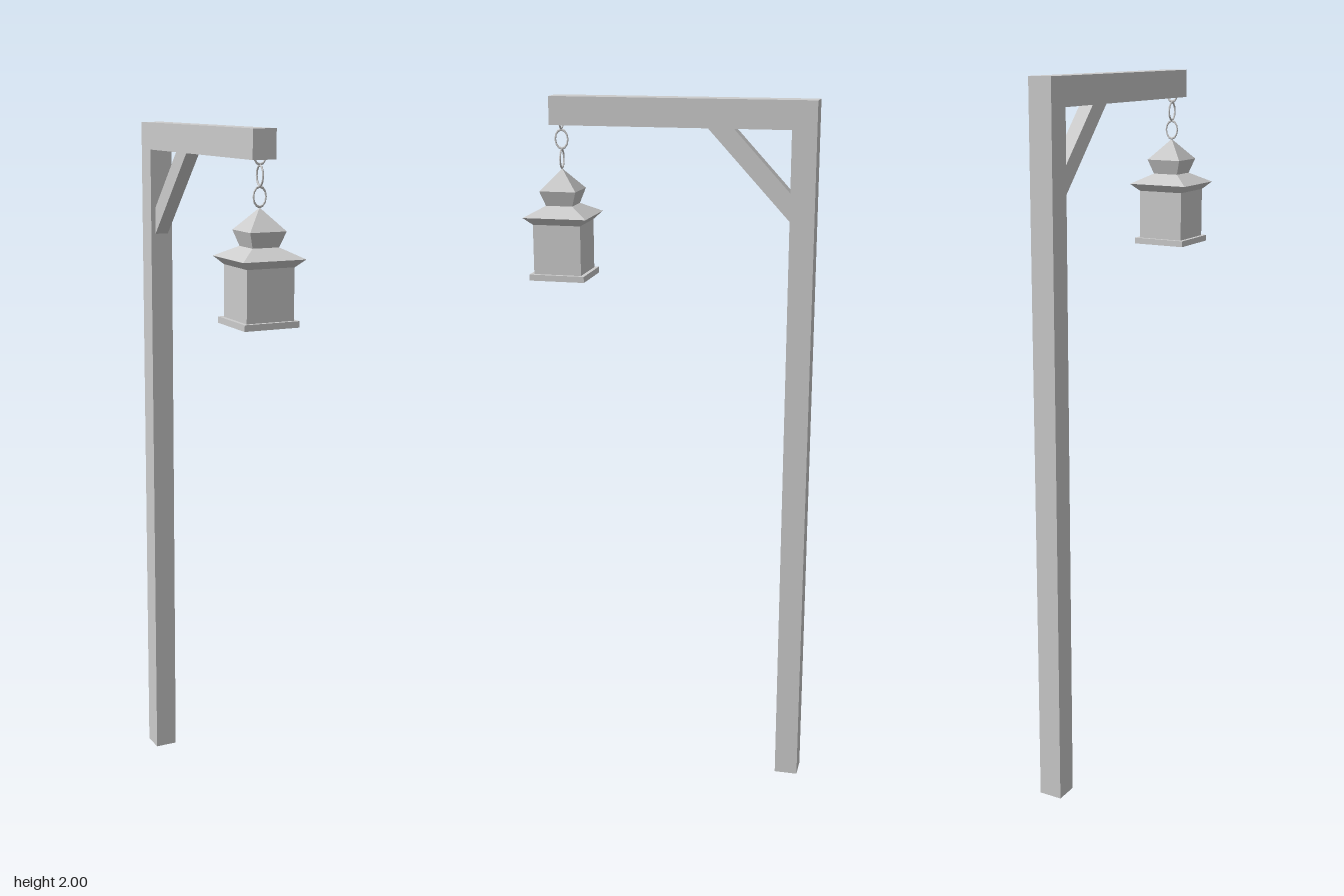
import * as THREE from 'three';

const material = new THREE.MeshStandardMaterial({ color: 0xcccccc, flatShading: true, side: THREE.DoubleSide });

function addMesh(parent, name, geometry) {
  const mesh = new THREE.Mesh(geometry, material);
  mesh.name = name;
  parent.add(mesh);
  return mesh;
}

// Extrude a side profile of [z, y] points across x, centred on x = 0
function sideExtrude(points, width) {
  const shape = new THREE.Shape(points.map(([z, y]) => new THREE.Vector2(-z, y)));
  const geometry = new THREE.ExtrudeGeometry(shape, { depth: width, bevelEnabled: false });
  return geometry.translate(0, 0, -width / 2).rotateY(Math.PI / 2);
}

// Drop the triangles lying on the ground, leaving the foot open
function openFoot(geometry) {
  const p = geometry.attributes.position;
  const kept = [];
  for (let i = 0; i < p.count; i += 3) {
    if (Math.max(p.getY(i), p.getY(i + 1), p.getY(i + 2)) > 0.001) kept.push(i, i + 1, i + 2);
  }
  geometry.setIndex(kept);
  return geometry;
}

// Square turned shape from [half width, y] points
function squareLathe(points) {
  const profile = points.map(([half, y]) => new THREE.Vector2(half * Math.SQRT2, y));
  return new THREE.LatheGeometry(profile, 4, Math.PI / 4);
}

export function createModel() {
  const model = new THREE.Group();
  model.name = 'lanternPost';

  // Post and overhanging arm in one L-shaped piece
  addMesh(model, 'postAndArm', openFoot(sideExtrude([
    [-0.4, 0], [-0.333, 0], [-0.333, 1.923], [0.335, 1.923], [0.335, 2], [-0.4, 2],
  ], 0.067)));

  // Diagonal brace under the arm
  addMesh(model, 'brace', sideExtrude([
    [-0.333, 1.678], [-0.104, 1.923], [-0.175, 1.923], [-0.333, 1.754],
  ], 0.04));

  const lantern = new THREE.Group();
  lantern.name = 'lantern';
  lantern.position.z = 0.31;
  model.add(lantern);

  // Base plate and box-shaped body
  const base = addMesh(lantern, 'lanternBase', new THREE.BoxGeometry(0.158, 0.017, 0.158));
  base.position.y = 1.5085;
  const body = addMesh(lantern, 'lanternBody', new THREE.BoxGeometry(0.136, 0.141, 0.136));
  body.position.y = 1.5865;

  // Two-tier roof: wide eaves, flared neck and pointed cap
  addMesh(lantern, 'lanternRoof', squareLathe([
    [0.068, 1.655], [0.09, 1.676], [0.038, 1.704], [0.052, 1.745], [0, 1.803],
  ]));

  // Chain of oval links, each turned a quarter from the last
  for (let i = 0; i < 3; i++) {
    const link = addMesh(lantern, 'chainLink', new THREE.TorusGeometry(0.018, 0.0025, 6, 12));
    link.scale.y = 1.42;
    link.position.y = 1.83 + i * 0.053;
    link.rotation.y = (i % 2) * Math.PI / 2;
  }

  return model;
}
